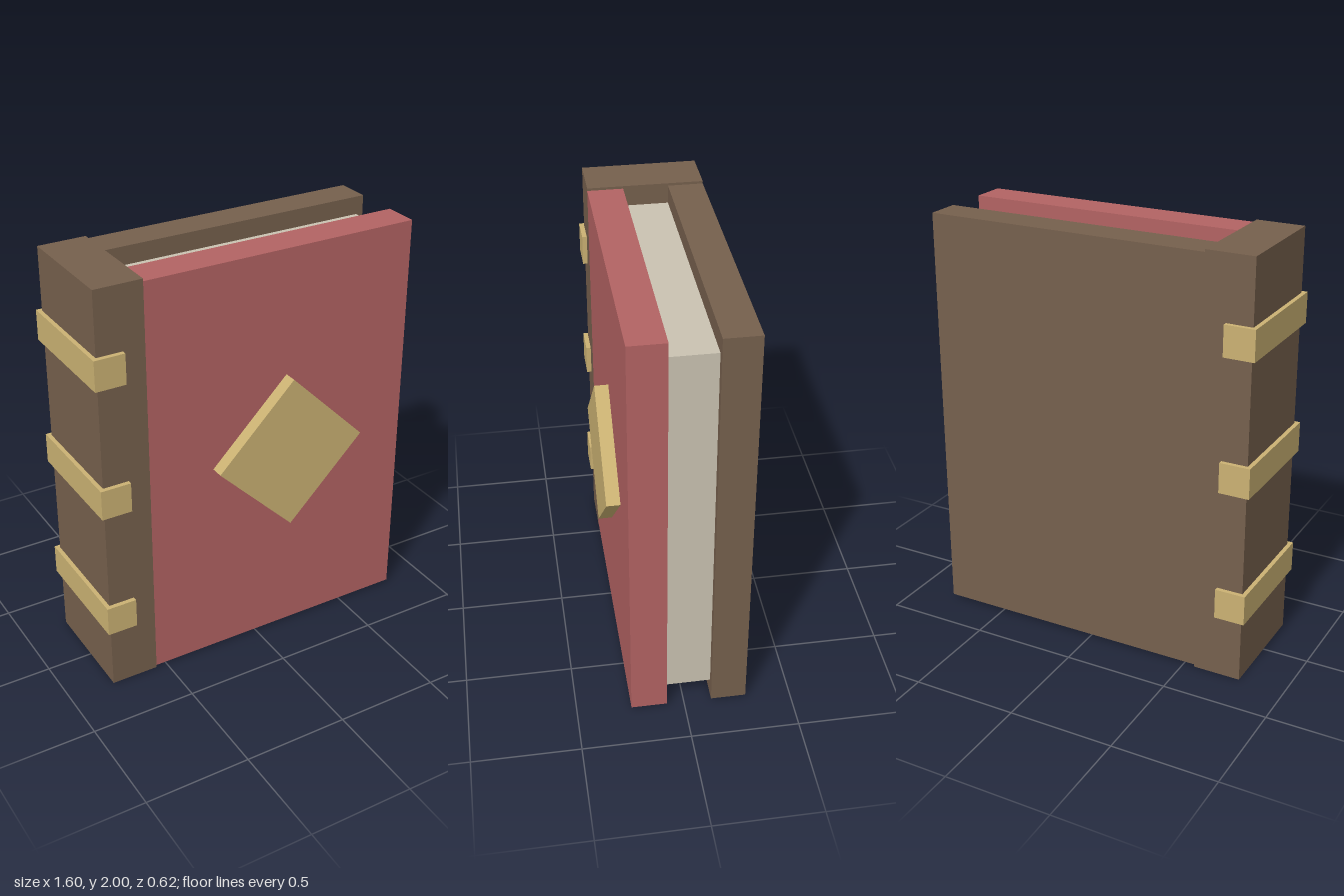
import * as THREE from 'three';

const material = (name, color) => {
  const m = new THREE.MeshStandardMaterial({ color });
  m.name = name;
  return m;
};

export function createModel() {
  const red = material('red cover', 0xb36363);
  const brown = material('brown leather', 0x76604d);
  const gold = material('gold', 0xcbb273);
  const cream = material('cream paper', 0xcac3b2);

  const book = new THREE.Group();
  book.name = 'book';

  // Box given by its lower and upper limits on each axis
  const addBox = (parent, name, mat, [x0, x1], [y0, y1], [z0, z1]) => {
    const mesh = new THREE.Mesh(new THREE.BoxGeometry(x1 - x0, y1 - y0, z1 - z0), mat);
    mesh.position.set((x0 + x1) / 2, (y0 + y1) / 2, (z0 + z1) / 2);
    mesh.name = name;
    parent.add(mesh);
  };

  // Spine, covers and page block
  addBox(book, 'spine', brown, [-0.78, -0.553], [0, 2], [-0.29, 0.248]);
  addBox(book, 'frontCover', red, [-0.553, 0.798], [0.012, 1.988], [0.082, 0.248]);
  addBox(book, 'backCover', brown, [-0.553, 0.798], [0.012, 1.988], [-0.29, -0.127]);
  addBox(book, 'pages', cream, [-0.553, 0.762], [0.1, 1.902], [-0.127, 0.082]);

  // Gold bands wrapping round the spine
  [0.378, 1.003, 1.628].forEach((y, i) => {
    const band = new THREE.Group();
    band.name = `spineBand${i + 1}`;
    const h = [y - 0.072, y + 0.072];
    addBox(band, 'bandBack', gold, [-0.8, -0.78], h, [-0.311, 0.27]);
    addBox(band, 'bandFrontEnd', gold, [-0.78, -0.656], h, [0.248, 0.27]);
    addBox(band, 'bandRearEnd', gold, [-0.78, -0.656], h, [-0.311, -0.29]);
    book.add(band);
  });

  // Raised diamond on the front cover
  const side = 0.381 * Math.SQRT2;
  const diamond = new THREE.Mesh(new THREE.BoxGeometry(side, side, 0.063), gold);
  diamond.name = 'diamondOrnament';
  diamond.position.set(0.147, 1.003, 0.2795);
  diamond.rotation.z = Math.PI / 4;
  book.add(diamond);

  return book;
}
